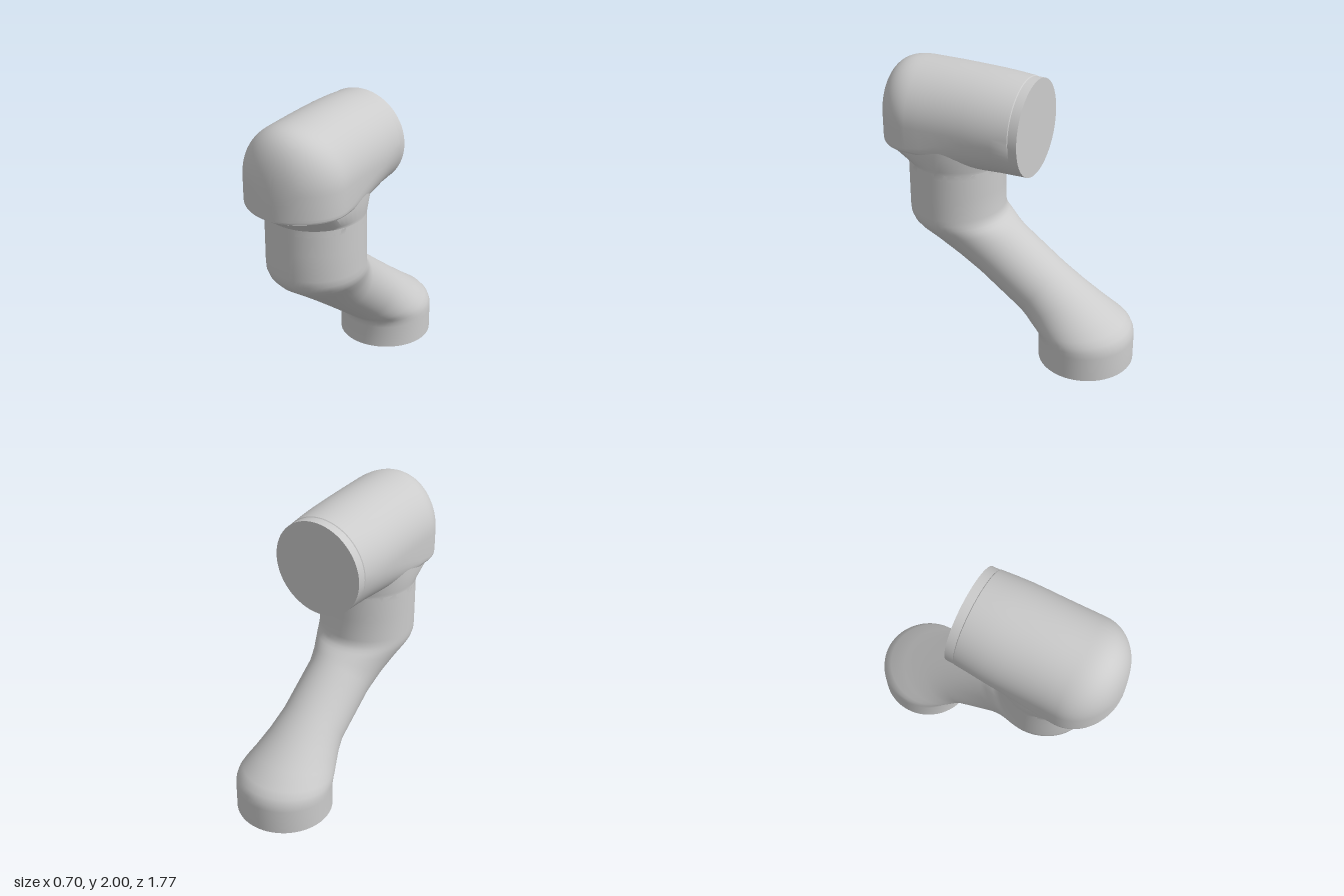
import * as THREE from 'three';
import { toCreasedNormals } from 'three/addons/utils/BufferGeometryUtils.js';

const SEG = 64;
const material = new THREE.MeshStandardMaterial({ color: 0xcccccc });

// Closed skin through rings of points, with flat caps at both ends
function loft(name, rings) {
  const pos = [], idx = [];
  rings.forEach(r => r.forEach(p => pos.push(...p)));
  const n = SEG, last = (rings.length - 1) * n;
  for (let i = 0; i < rings.length - 1; i++) {
    for (let j = 0; j < n; j++) {
      const k = (j + 1) % n, a = i * n + j, b = i * n + k;
      idx.push(a, b, b + n, a, b + n, a + n);
    }
  }
  const centre = r => [0, 1, 2].map(c => r.reduce((s, p) => s + p[c], 0) / n);
  const c0 = pos.length / 3;
  pos.push(...centre(rings[0]), ...centre(rings[rings.length - 1]));
  for (let j = 0; j < n; j++) {
    const k = (j + 1) % n;
    idx.push(c0, k, j, c0 + 1, last + j, last + k);
  }
  const g = new THREE.BufferGeometry();
  g.setAttribute('position', new THREE.Float32BufferAttribute(pos, 3));
  g.setIndex(idx);
  const mesh = new THREE.Mesh(toCreasedNormals(g, 0.6), material);
  mesh.name = name;
  return mesh;
}

const ring = f => Array.from({ length: SEG }, (_, j) => f(j / SEG * Math.PI * 2));
const pw = (v, e) => Math.sign(v) * Math.pow(Math.abs(v) < 1e-9 ? 0 : Math.abs(v), e);

// Lower arm: elliptical sections spanning front point to back point
function lowerArm() {
  // [front z, front y, back z, back y, half width]
  const half = [
    [-0.235, 0, -0.885, 0, 0.325],
    [-0.235, 0.16, -0.885, 0.18, 0.325],
    [-0.228, 0.195, -0.88, 0.225, 0.325],
    [-0.213, 0.218, -0.86, 0.268, 0.32],
    [-0.19, 0.237, -0.82, 0.31, 0.308],
    [-0.165, 0.253, -0.70, 0.394, 0.282],
    [-0.135, 0.275, -0.53, 0.518, 0.248],
    [-0.10, 0.30, -0.36, 0.645, 0.225],
  ];
  // The upper bend repeats the lower one, turned half a revolution
  const upper = half.map(([az, ay, bz, by, w]) =>
    [-0.165 - bz, 1.17 - by, -0.165 - az, 1.17 - ay, w]).reverse();
  upper.push([0.72, 1.35, 0.07, 1.35, 0.325]);
  return loft('lowerArm', [...half, ...upper].map(([az, ay, bz, by, w]) => ring(a => {
    const c = Math.cos(a);
    return [w * Math.sin(a), (ay + by) / 2 + c * (ay - by) / 2, (az + bz) / 2 + c * (az - bz) / 2];
  })));
}

// Flared neck between the upright collar and the head
function neck() {
  // [y, front z, back z, half width, fullness]
  const rows = [
    [1.3, 0.72, 0.07, 0.325, 1],
    [1.345, 0.72, 0.07, 0.325, 1],
    [1.365, 0.745, 0.066, 0.328, 0.97],
    [1.46, 0.885, 0.045, 0.342, 0.82],
    [1.6, 0.82, -0.02, 0.335, 0.82],
  ];
  return loft('neck', rows.map(([y, zf, zb, w, e]) => ring(a => {
    const c = Math.cos(a), s = Math.sin(a), front = c > 0;
    return [w * pw(s, front ? e : 1), y, 0.395 + (front ? (zf - 0.395) * pw(c, e) : (0.395 - zb) * c)];
  })));
}

// Head: round socket at the back turning into a domed hood at the front
function head() {
  // [z, half width, top, bottom, squareness exponent of the lower half]
  const rows = [
    [-0.175, 0.325, 1.97, 1.32, 1],
    [-0.115, 0.325, 1.97, 1.32, 1],
    [-0.11, 0.329, 1.975, 1.32, 1],
    [0, 0.338, 1.985, 1.322, 1],
    [0.1, 0.344, 1.991, 1.328, 0.92],
    [0.2, 0.345, 1.995, 1.345, 0.78],
    [0.3, 0.345, 1.998, 1.375, 0.58],
    [0.4, 0.346, 2, 1.41, 0.38],
    [0.5, 0.348, 2, 1.44, 0.2],
  ];
  for (let i = 0; i <= 16; i++) {
    const u = i / 16 * 1.5, k = Math.sin(u);
    rows.push([0.6 + 0.29 * k, 0.35 * Math.cos(u), 1.5 + 0.5 * Math.cbrt(1 - k ** 3), 1.46, 0.1]);
  }
  return loft('head', rows.map(([z, w, top, bottom, e]) => {
    const spring = Math.min(1.647, bottom + (top - bottom) * 0.5);
    return ring(t => {
      const c = Math.cos(t), s = Math.sin(t);
      return s >= 0
        ? [w * c, spring + (top - spring) * s, z]
        : [w * pw(c, e), spring + (spring - bottom) * pw(s, e), z];
    });
  }));
}

export function createModel() {
  const group = new THREE.Group();
  group.name = 'armLink';
  group.add(lowerArm(), neck(), head());
  return group;
}
